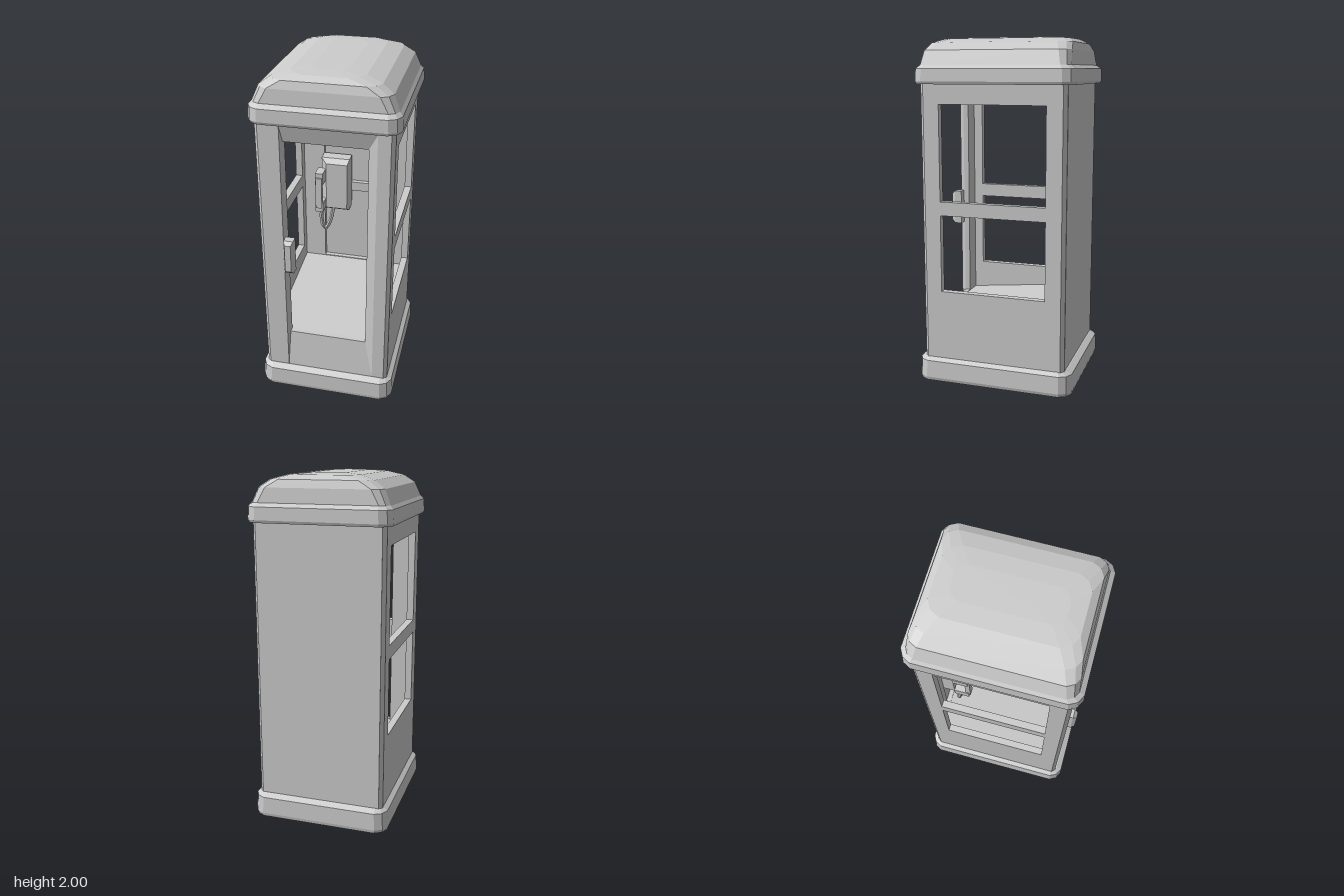
import * as THREE from 'three';

const grey = new THREE.MeshStandardMaterial({ color: 0xcccccc, flatShading: true });
grey.name = 'light grey';

export function createModel() {
  const model = new THREE.Group();

  const add = (name, geometry, x = 0, y = 0, z = 0) => {
    const mesh = new THREE.Mesh(geometry, grey);
    mesh.name = name;
    mesh.position.set(x, y, z);
    model.add(mesh);
    return mesh;
  };
  const box = (name, x0, x1, y0, y1, z0, z1) =>
    add(name, new THREE.BoxGeometry(x1 - x0, y1 - y0, z1 - z0), (x0 + x1) / 2, (y0 + y1) / 2, (z0 + z1) / 2);

  // Skin a series of equal-length loops, optionally capping or joining the ends
  const loft = (rings, { caps = false, closed = false } = {}) => {
    const n = rings[0].length, index = [];
    const last = closed ? rings.length : rings.length - 1;
    for (let r = 0; r < last; r++) for (let i = 0; i < n; i++) {
      const j = (i + 1) % n, s = (r + 1) % rings.length;
      const a = r * n + i, b = r * n + j, c = s * n + j, d = s * n + i;
      index.push(a, b, c, a, c, d);
    }
    if (caps) for (let i = 1; i < n - 1; i++) {
      const t = (rings.length - 1) * n;
      index.push(0, i + 1, i, t, t + i, t + i + 1);
    }
    const g = new THREE.BufferGeometry();
    g.setAttribute('position', new THREE.Float32BufferAttribute(rings.flat(2), 3));
    g.setIndex(index);
    const flat = g.toNonIndexed();
    flat.computeVertexNormals();
    return flat;
  };

  // Rectangle with softly cut corners at height y, half sizes w and d
  const outline = (w, d, c, y) => {
    const k = c * 0.35;
    const corner = [[w, d - c], [w - k, d - k], [w - c, d]];
    const back = corner.map(([x, z]) => [x, y, -z]);
    const front = corner.map(([x, z]) => [x, y, z]).reverse();
    const flip = (pts) => pts.map(([x, , z]) => [-x, y, z]).reverse();
    return [...back, ...flip(back), ...flip(front), ...front];
  };
  // Upright rectangle at depth z
  const rect = (x0, x1, y0, y1, z) => [[x0, y0, z], [x1, y0, z], [x1, y1, z], [x0, y1, z]];

  // Flat panel with rectangular openings
  const panel = ([x0, x1, y0, y1], holes, depth) => {
    const trace = (p, a, b, c, d) => p.moveTo(a, c).lineTo(b, c).lineTo(b, d).lineTo(a, d).closePath();
    const shape = trace(new THREE.Shape(), x0, x1, y0, y1);
    for (const h of holes) shape.holes.push(trace(new THREE.Path(), ...h));
    return new THREE.ExtrudeGeometry(shape, { depth, bevelEnabled: false });
  };

  // Plinth and roof rim
  add('base', loft([
    outline(0.402, 0.462, 0.065, 0.005), outline(0.408, 0.466, 0.065, 0.025),
    outline(0.402, 0.463, 0.065, 0.125), outline(0.375, 0.43, 0.04, 0.143),
  ], { caps: true }));
  add('roofRim', loft([
    outline(0.402, 0.46, 0.065, 1.74), outline(0.408, 0.466, 0.065, 1.755),
    outline(0.403, 0.463, 0.065, 1.825), outline(0.385, 0.435, 0.05, 1.845),
  ], { caps: true }));

  // Domed roof, rounder across than along
  add('roof', loft([
    outline(0.388, 0.435, 0.05, 1.84), outline(0.352, 0.427, 0.06, 1.925),
    outline(0.29, 0.413, 0.07, 1.968), outline(0.2, 0.375, 0.08, 1.992),
    outline(0.1, 0.29, 0.06, 2.0),
  ], { caps: true }));

  // Thin side walls with two windows each
  const windows = [[-0.31, 0.31, 0.55, 1.0], [-0.31, 0.31, 1.08, 1.63]];
  for (const side of [-1, 1]) {
    const wall = add(side > 0 ? 'leftWall' : 'rightWall',
      panel([-0.4, 0.4, 0.13, 1.75], windows, 0.042), side > 0 ? 0.333 : -0.375);
    wall.rotation.y = Math.PI / 2;

    // Corner posts with a cut outer edge
    for (const end of [-1, 1]) {
      const pts = [[0.333, 0.375], [0.375, 0.375], [0.375, 0.402], [0.355, 0.423], [0.333, 0.423]]
        .map(([x, z]) => new THREE.Vector2(x * side, -z * end));
      const post = new THREE.ExtrudeGeometry(new THREE.Shape(pts), { depth: 1.62, bevelEnabled: false });
      add('cornerPost', post.rotateX(-Math.PI / 2), 0, 0.13, 0);
    }
  }

  // Front frame with a shallow splayed door opening
  add('doorFrame', loft([
    rect(-0.355, 0.355, 0.13, 1.75, 0.423), rect(-0.237, 0.285, 0.14, 1.725, 0.423),
    rect(-0.225, 0.235, 0.38, 1.63, 0.397), rect(-0.225, 0.235, 0.38, 1.63, 0.365),
    rect(-0.355, 0.355, 0.13, 1.75, 0.365),
  ], { closed: true }));

  // Solid back with a recessed panel frame inside
  box('backWall', -0.355, 0.355, 0.13, 1.75, -0.424, -0.4);
  add('backInnerFrame', panel([-0.335, 0.335, 0.13, 1.74],
    [[-0.2, 0.17, 0.46, 0.98], [-0.2, 0.17, 1.04, 1.63]], 0.03), 0, 0, -0.4);

  // Floor rising gently to the back, and ceiling
  const floor = new THREE.BoxGeometry(0.67, 0.24, 0.74);
  const p = floor.attributes.position;
  for (let i = 0; i < p.count; i++) if (p.getY(i) > 0 && p.getZ(i) < 0) p.setY(i, p.getY(i) + 0.08);
  floor.computeVertexNormals();
  add('floor', floor, 0, 0.255, 0);
  box('ceiling', -0.335, 0.335, 1.7, 1.75, -0.37, 0.37);

  // Door handle
  add('doorHandle', loft([
    rect(-0.23, -0.175, 0.84, 1.05, 0.4), rect(-0.23, -0.175, 0.84, 1.05, 0.445),
    rect(-0.22, -0.185, 0.86, 1.03, 0.466),
  ], { caps: true }));

  // Telephone on the back wall
  add('phoneBox', loft([
    rect(-0.2, -0.02, 0.87, 1.23, -0.375), rect(-0.2, -0.02, 0.87, 1.23, -0.3),
    rect(-0.165, -0.03, 0.89, 1.2, -0.27),
  ], { caps: true }));

  // Handset: grip with two turned-in ends
  box('handsetGrip', -0.215, -0.175, 0.92, 1.13, -0.22, -0.19);
  box('handsetEarpiece', -0.22, -0.17, 1.08, 1.16, -0.29, -0.2);
  box('handsetMouthpiece', -0.22, -0.17, 0.89, 0.95, -0.29, -0.2);

  // Hanging cord
  const cord = new THREE.CatmullRomCurve3([
    [-0.19, 0.9, -0.25], [-0.2, 0.8, -0.275], [-0.18, 0.72, -0.28], [-0.14, 0.79, -0.28], [-0.12, 0.9, -0.29],
  ].map((v) => new THREE.Vector3(...v)));
  add('phoneCord', new THREE.TubeGeometry(cord, 10, 0.013, 5));

  return model;
}
